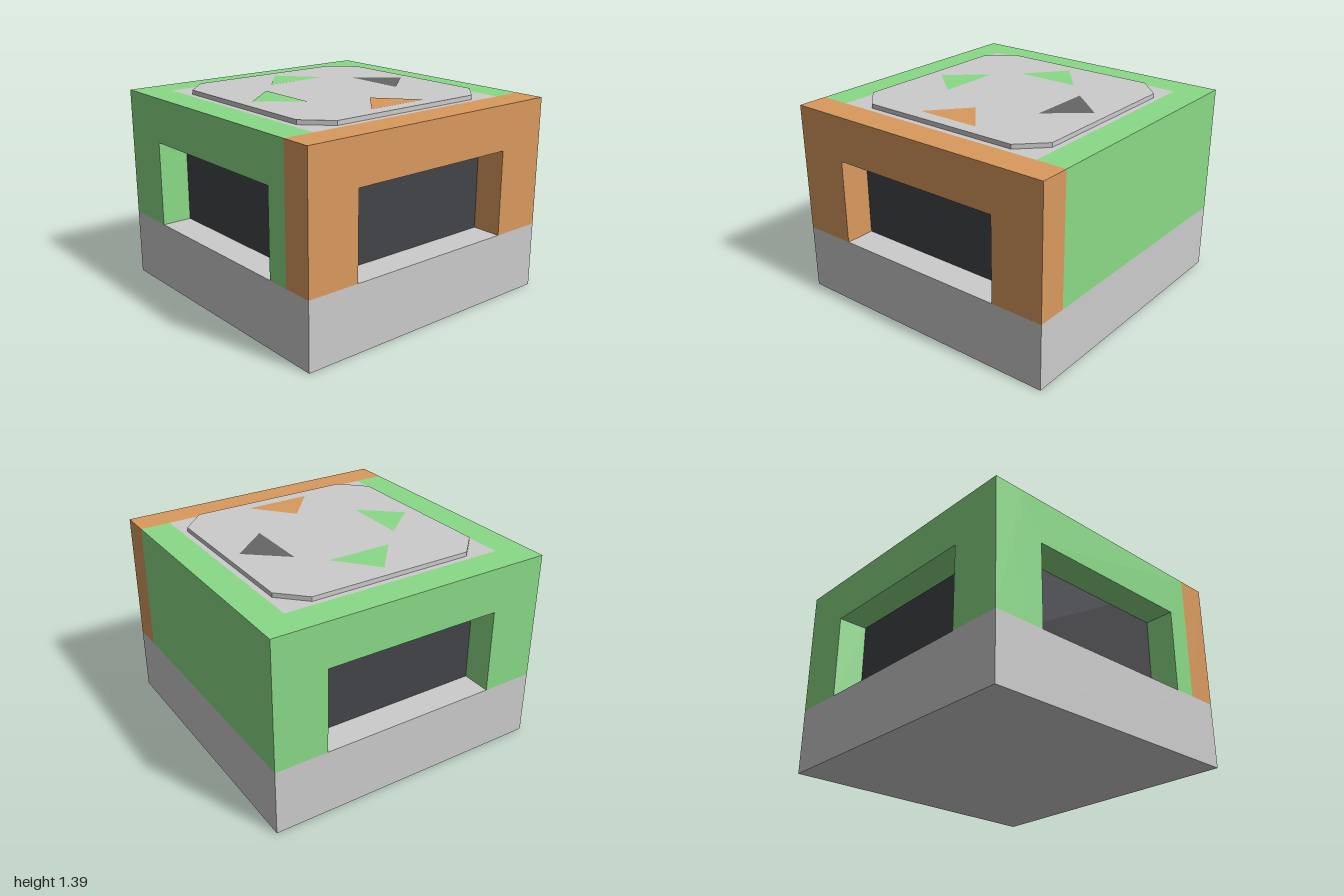
import * as THREE from 'three';

const mat = (color) => new THREE.MeshStandardMaterial({ color });

const BASE_TOP = 0.46, TOP = 1.36, INNER = 0.79, WALL = 1 - INNER;
const OPEN_HALF = 0.63, OPEN_TOP = 1.05, PLATE = 0.03;

const polygon = (points) => new THREE.Shape(points.map(([x, y]) => new THREE.Vector2(x, y)));

export function createModel() {
  const model = new THREE.Group();
  const grey = mat(0xcccccc), green = mat(0x89da86), orange = mat(0xd99a5d);
  const dark = mat(0x434448), darkArrow = mat(0x666666);

  function add(name, geometry, material, x = 0, y = 0, z = 0) {
    const mesh = new THREE.Mesh(geometry, material);
    mesh.name = name;
    mesh.position.set(x, y, z);
    model.add(mesh);
    return mesh;
  }

  // Solid base block
  add('base', new THREE.BoxGeometry(2, BASE_TOP, 2), grey, 0, BASE_TOP / 2, 0);

  // Inner core: dark at the back of each opening, grey on top
  const h = TOP - BASE_TOP, mid = (TOP + BASE_TOP) / 2;
  add('core', new THREE.BoxGeometry(2 * INNER, h, 2 * INNER),
    [dark, dark, grey, dark, dark, dark], 0, mid, 0);

  // Walls with an opening that reaches down to the base
  function portalWall(name, half, material, angle) {
    const shape = polygon([
      [-half, BASE_TOP], [-OPEN_HALF, BASE_TOP], [-OPEN_HALF, OPEN_TOP], [OPEN_HALF, OPEN_TOP],
      [OPEN_HALF, BASE_TOP], [half, BASE_TOP], [half, TOP], [-half, TOP],
    ]);
    const geometry = new THREE.ExtrudeGeometry(shape, { depth: WALL, bevelEnabled: false });
    geometry.translate(0, 0, INNER);
    add(name, geometry, material).rotation.y = angle;
  }
  portalWall('frontWall', 1, orange, 0);
  portalWall('backWall', 1, green, Math.PI);
  portalWall('openSideWall', INNER, green, -Math.PI / 2);

  // Closed side wall
  add('closedSideWall', new THREE.BoxGeometry(WALL, h, 2 * INNER), green, 1 - WALL / 2, mid, 0);

  // Thin top plate with cut corners
  const a = 0.75, b = 0.58;
  const octagon = polygon([[a, -b], [a, b], [b, a], [-b, a], [-a, b], [-a, -b], [-b, -a], [b, -a]]);
  const plate = new THREE.ExtrudeGeometry(octagon, { depth: PLATE, bevelEnabled: false });
  plate.rotateX(-Math.PI / 2);
  add('topPlate', plate, grey, 0, TOP, 0);

  // Direction arrows lying on the plate
  const arrow = new THREE.ShapeGeometry(polygon([[-0.228, -0.135], [0.228, -0.135], [0, 0.135]]));
  arrow.rotateX(-Math.PI / 2);
  const arrowY = TOP + PLATE + 0.002, r = 0.522;
  for (const [name, material, x, z, angle] of [
    ['backArrow', green, 0, -r, 0],
    ['frontArrow', orange, 0, r, 0],
    ['openSideArrow', green, -r, 0, Math.PI / 2],
    ['closedSideArrow', darkArrow, r, 0, -Math.PI / 2],
  ]) add(name, arrow, material, x, arrowY, z).rotation.y = angle;

  return model;
}
